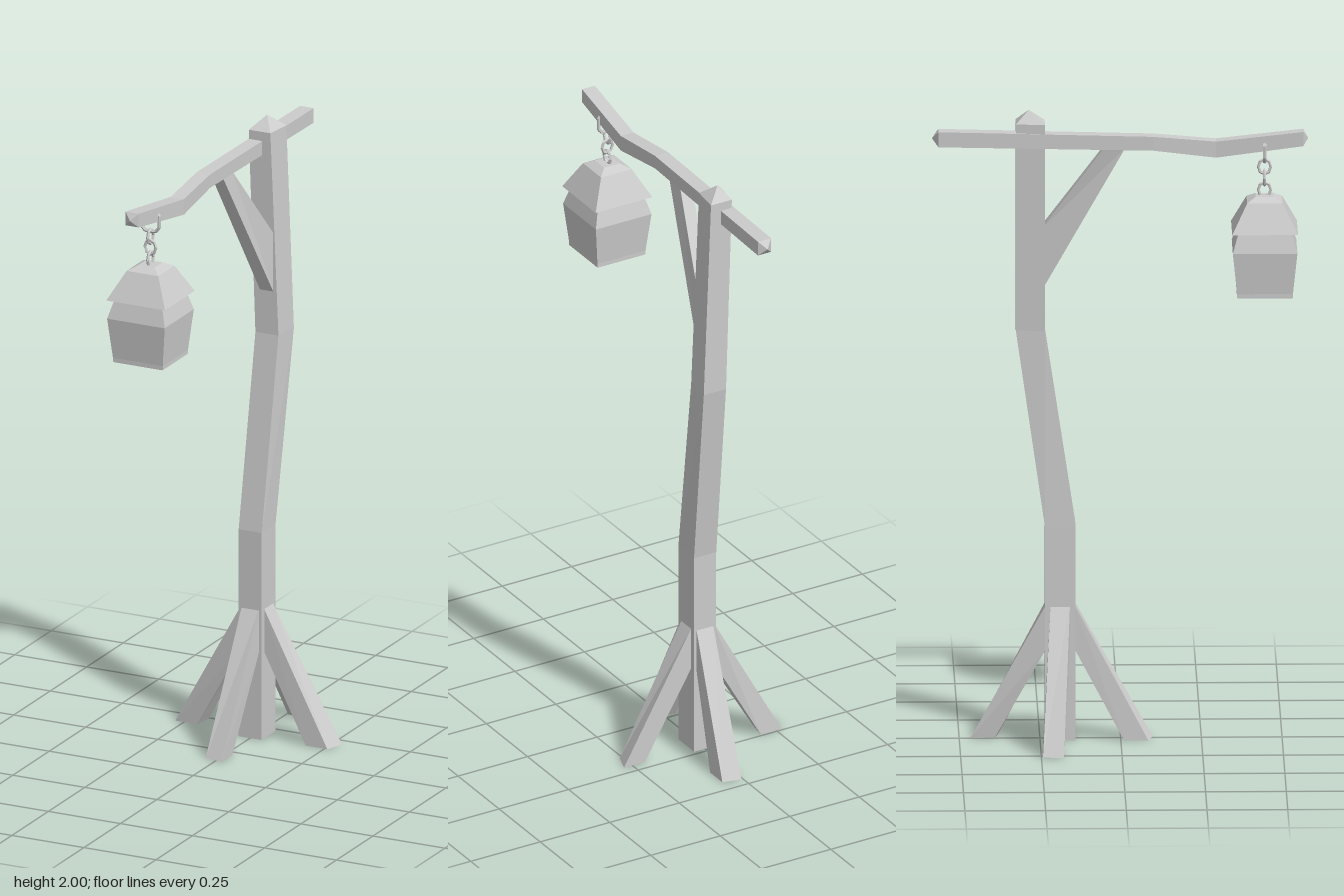
import * as THREE from 'three';

const material = new THREE.MeshStandardMaterial({ color: 0xcccccc, flatShading: true, side: THREE.DoubleSide });

function add(parent, name, geometry) {
  const mesh = new THREE.Mesh(geometry, material);
  mesh.name = name;
  parent.add(mesh);
  return mesh;
}

// Skin a row of four-cornered rings, each counter-clockwise about the direction of travel
function loft(rings) {
  const pos = [];
  const tri = (a, b, c) => pos.push(...a, ...b, ...c);
  const quad = (a, b, c, d) => { tri(a, b, c); tri(a, c, d); };
  for (let k = 0; k < rings.length - 1; k++) {
    const a = rings[k], b = rings[k + 1];
    for (let i = 0; i < 4; i++) {
      const j = (i + 1) % 4;
      if (a[i] === a[j]) tri(a[i], b[j], b[i]);
      else if (b[i] === b[j]) tri(a[i], a[j], b[i]);
      else quad(a[i], a[j], b[j], b[i]);
    }
  }
  const first = rings[0], last = rings[rings.length - 1];
  if (first[0] !== first[1]) quad(first[3], first[2], first[1], first[0]);
  if (last[0] !== last[1]) quad(...last);
  const g = new THREE.BufferGeometry();
  g.setAttribute('position', new THREE.Float32BufferAttribute(pos, 3));
  g.computeVertexNormals();
  return g;
}

const tip = (x, y, z) => Array(4).fill([x, y, z]);
// Level ring, for lofts going up
const level = (y, x0, x1, z0, z1, skew = 0) =>
  [[x0 + skew, y, z0], [x0, y, z1], [x1, y, z1], [x1 + skew, y, z0]];
// Upright ring, for lofts going forward
const upright = (z, x0, x1, y0, y1) => [[x0, y0, z], [x1, y0, z], [x1, y1, z], [x0, y1, z]];
const square = (y, h) => level(y, -h, h, -h, h);

export function createModel() {
  const group = new THREE.Group();

  // Crooked post with a pointed top
  add(group, 'post', loft([
    level(0, -0.04, 0.04, -0.235, -0.14),
    level(0.68, -0.04, 0.04, -0.235, -0.14),
    level(1.3, -0.03, 0.05, -0.325, -0.235, 0.008),
    level(1.96, -0.053, 0.022, -0.325, -0.235, 0.01),
    tip(-0.015, 2, -0.285),
  ]));

  // Four splayed legs: outward direction, then the two outer foot corners (x, z)
  const legs = [
    ['leftLeg', [1, 0], [0.26, -0.155], [0.28, -0.215]],
    ['rightLeg', [-1, 0], [-0.27, -0.245], [-0.28, -0.18]],
    ['frontLeg', [0, 1], [-0.04, 0.085], [0.022, 0.1]],
    ['backLeg', [0, -1], [0.066, -0.452], [0.005, -0.465]],
  ];
  for (const [name, [dx, dz], p, q] of legs) {
    const foot = ([x, z], inset) => [x - dx * inset, 0, z - dz * inset];
    const head = (side, y) => [dx * 0.037 + dz * side, y, -0.1875 + dz * 0.044 - dx * side];
    add(group, name, loft([
      [foot(p, 0), foot(q, 0), foot(q, 0.075), foot(p, 0.075)],
      [head(-0.03, 0.43), head(0.03, 0.43), head(0.03, 0.29), head(-0.03, 0.29)],
    ]));
  }

  // Bent crossbeam with pointed ends
  add(group, 'crossbeam', loft([
    tip(-0.018, 1.912, -0.585),
    upright(-0.565, -0.042, 0.005, 1.888, 1.936),
    upright(0.1, -0.065, -0.018, 1.88, 1.924),
    upright(0.295, -0.056, -0.01, 1.855, 1.906),
    upright(0.565, -0.076, -0.03, 1.895, 1.94),
    tip(-0.053, 1.917, 0.58),
  ]));

  // Diagonal brace from post to crossbeam
  add(group, 'brace', loft([
    [[-0.012, 1.415, -0.25], [0.035, 1.415, -0.25], [0.035, 1.615, -0.25], [-0.012, 1.615, -0.25]],
    [[-0.058, 1.89, 0.015], [-0.018, 1.89, 0.015], [-0.018, 1.89, -0.05], [-0.058, 1.89, -0.05]],
  ]));

  const lantern = new THREE.Group();
  lantern.name = 'lantern';
  lantern.position.set(-0.05, 0, 0.445);
  group.add(lantern);

  // Staple straddling the crossbeam
  const staple = new THREE.CurvePath();
  const pts = [[-0.022, 1.9], [-0.031, 1.9], [-0.031, 1.858], [-0.018, 1.843],
    [0.018, 1.843], [0.031, 1.858], [0.031, 1.9], [0.022, 1.9]].map(([x, y]) => new THREE.Vector3(x, y, 0));
  for (let i = 0; i < pts.length - 1; i++) staple.add(new THREE.LineCurve3(pts[i], pts[i + 1]));
  add(lantern, 'staple', new THREE.TubeGeometry(staple, 28, 0.006, 5));

  // Chain links, alternately turned
  [1.825, 1.79, 1.752].forEach((y, i) => {
    const link = add(lantern, 'chainLink', new THREE.TorusGeometry(0.019, 0.005, 5, 8));
    link.position.y = y;
    link.rotation.y = i % 2 ? 0 : Math.PI / 2;
    link.scale.y = 1.2;
  });

  // Lantern body, roof and base plate
  add(lantern, 'lanternBody', loft([square(1.425, 0.085), square(1.57, 0.1), square(1.64, 0.08)]));
  add(lantern, 'lanternRoof', loft([square(1.63, 0.102), square(1.72, 0.055), square(1.735, 0.028)]));
  const base = add(lantern, 'lanternBase', new THREE.BoxGeometry(0.173, 0.012, 0.173));
  base.position.y = 1.433;

  return group;
}
